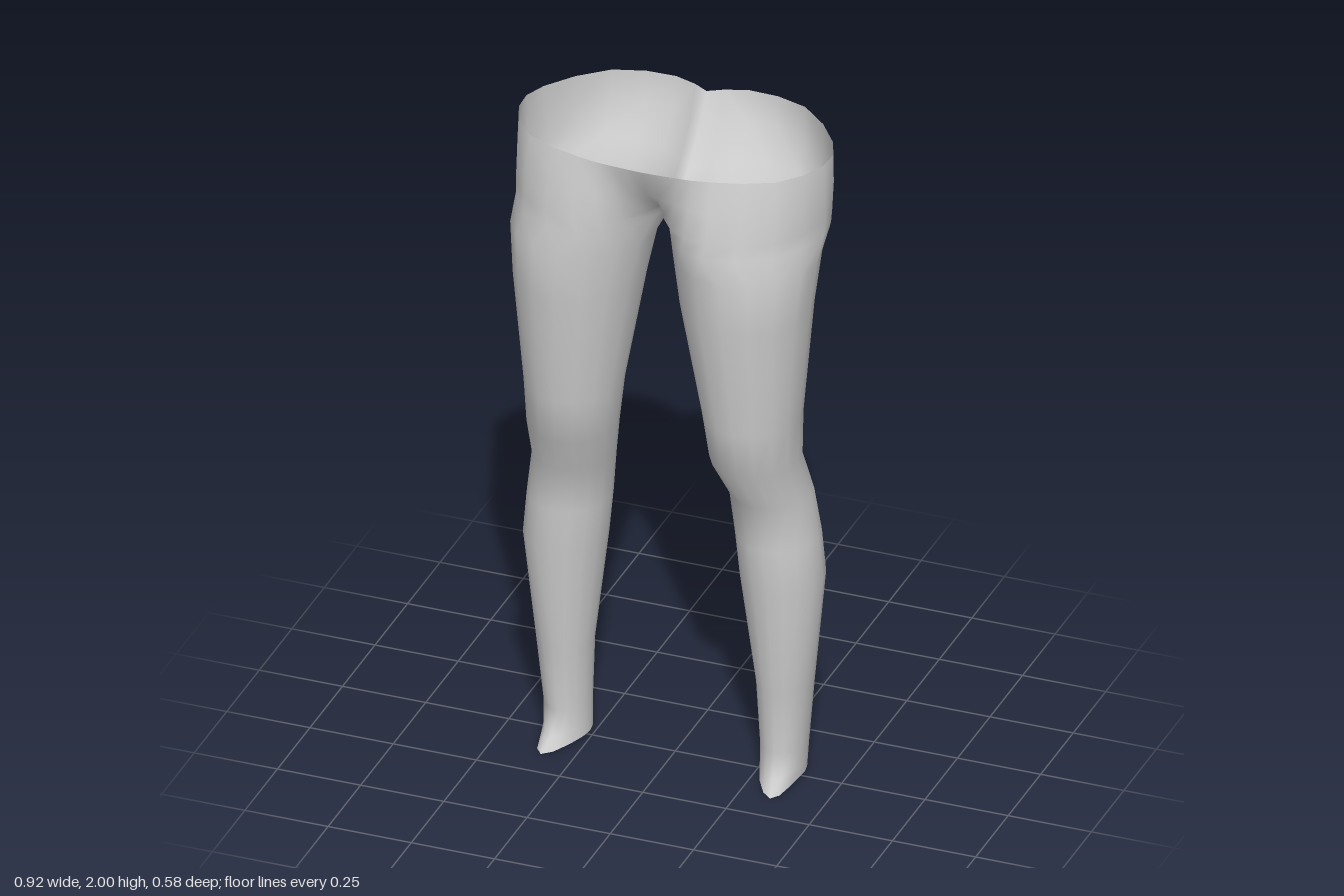
import * as THREE from 'three';
import { mergeVertices } from 'three/addons/utils/BufferGeometryUtils.js';

const N = 16; // segments round each leg: inner, front, outer, back, inner

// Closed leg sections: height, inner x, outer x, front z, back z
const LEG = [
  [0.10, 0.258, 0.392, 0.072, -0.09],
  [0.30, 0.25, 0.41, 0.095, -0.10],
  [0.65, 0.205, 0.446, 0.132, -0.12],
  [0.78, 0.192, 0.434, 0.135, -0.12],
  [0.92, 0.178, 0.415, 0.142, -0.105],
  [1.06, 0.146, 0.403, 0.228, -0.062],
  [1.20, 0.128, 0.408, 0.246, -0.065],
  [1.55, 0.064, 0.438, 0.29, -0.11],
  [1.70, 0.036, 0.452, 0.289, -0.15],
];

// Hip half-sections: x, z control points from the front midline to the back one
const CROTCH = [0, 0.02, 0.06, 0.19, 0.185, 0.283, 0.37, 0.216, 0.458, 0.03, 0.415, -0.105, 0.28, -0.178, 0.10, -0.155, 0, 0.02];
const FOLD = [0, 0.12, 0.07, 0.225, 0.2, 0.28, 0.375, 0.205, 0.461, 0.03, 0.42, -0.11, 0.29, -0.205, 0.11, -0.2, 0, -0.1];
const HIP = [0, 0.22, 0.09, 0.242, 0.2, 0.262, 0.375, 0.187, 0.462, 0.03, 0.43, -0.11, 0.29, -0.25, 0.11, -0.27, 0, -0.18];
const WAIST = [0, 0.255, 0.10, 0.25, 0.2, 0.235, 0.37, 0.17, 0.458, 0.03, 0.435, -0.1, 0.29, -0.257, 0.11, -0.288, 0, -0.24];

function legRing([y, xi, xo, zf, zb], toe = 0) {
  const ring = [];
  for (let i = 0; i <= N; i++) {
    const a = (i % N) / N * Math.PI * 2;
    const flare = Math.max(0, Math.sin(a)) ** 3;
    ring.push([
      (xi + xo) / 2 - (xo - xi) / 2 * Math.cos(a) + toe * 0.3 * flare,
      y - (toe ? 0.01 * flare : 0),
      (zf + zb) / 2 + (zf - zb) / 2 * Math.sin(a) + toe * flare,
    ]);
  }
  return ring;
}

function hipRing(y, p) {
  const points = [];
  for (let i = 0; i < p.length; i += 2) points.push(new THREE.Vector2(p[i], p[i + 1]));
  return new THREE.SplineCurve(points).getPoints(N).map(v => [v.x, y, v.y]);
}

// Skin the sections on both sides and weld them along the midline
function skin(rings) {
  const pos = [], index = [];
  for (const side of [1, -1]) {
    const base = pos.length / 3;
    for (const ring of rings) for (const [x, y, z] of ring) pos.push(x * side, y, z);
    for (let r = 0; r < rings.length - 1; r++) {
      for (let i = 0; i < N; i++) {
        const a = base + r * (N + 1) + i, b = a + 1, d = a + N + 1, c = d + 1;
        if (side > 0) index.push(a, b, c, a, c, d);
        else index.push(a, c, b, a, d, c);
      }
    }
  }
  const geo = new THREE.BufferGeometry();
  geo.setAttribute('position', new THREE.Float32BufferAttribute(pos, 3));
  geo.setIndex(index);
  const welded = mergeVertices(geo, 1e-4);
  welded.computeVertexNormals();
  return welded;
}

export function createModel() {
  const grey = new THREE.MeshStandardMaterial({ color: 0xcccccc, side: THREE.DoubleSide });
  grey.name = 'light grey';

  const rings = [
    legRing([0.01, 0.258, 0.386, 0.078, -0.09], 0.075), // open ankle hem with toe flap
    legRing([0.045, 0.258, 0.388, 0.072, -0.09], 0.035),
    ...LEG.map(section => legRing(section)),
    hipRing(1.775, CROTCH),
    hipRing(1.82, FOLD),
    hipRing(1.91, HIP),
    hipRing(2, WAIST), // open waist
  ];
  const legs = new THREE.Mesh(skin(rings), grey);
  legs.name = 'hipsAndLegs';

  const group = new THREE.Group();
  group.name = 'lowerBody';
  group.add(legs);
  return group;
}
